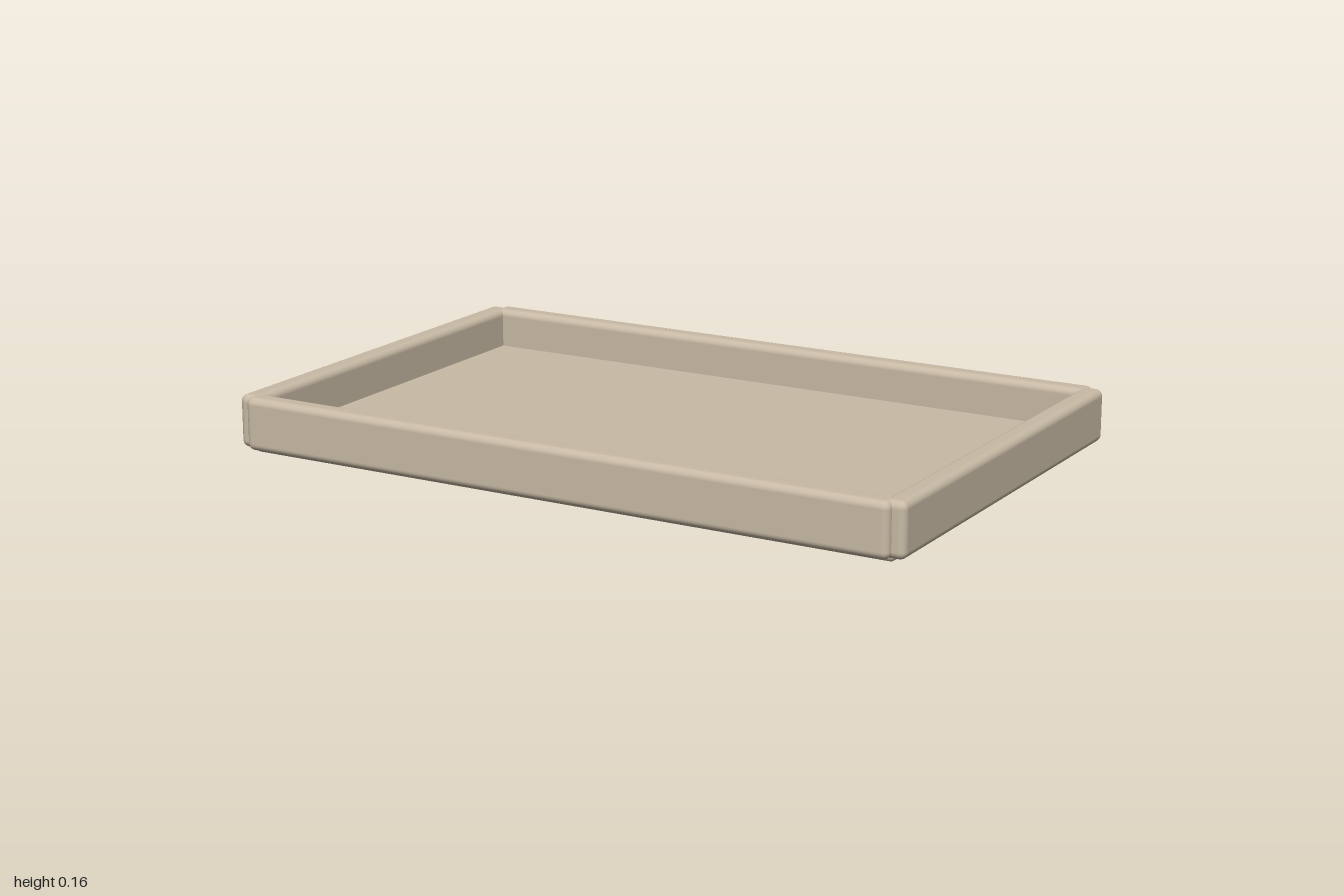
import * as THREE from 'three';
import { RoundedBoxGeometry } from 'three/addons/geometries/RoundedBoxGeometry.js';

export function createModel() {
  const group = new THREE.Group();
  group.name = 'tray';
  const material = new THREE.MeshStandardMaterial({ color: 0xc8baa5 });
  material.name = 'warm beige';

  // Soft-edged block, sitting with its underside at the given height
  const block = (name, width, height, depth, radius, x, bottom, z) => {
    const mesh = new THREE.Mesh(new RoundedBoxGeometry(width, height, depth, 4, radius), material);
    mesh.name = name;
    mesh.position.set(x, bottom + height / 2, z);
    group.add(mesh);
  };

  // Floor panel, slightly lower than the rim
  block('base', 1.93, 0.05, 1.21, 0.015, 0, 0, 0);

  // Four overlapping rim bars, leaving small notches at the corners
  for (const side of [1, -1]) {
    block(side > 0 ? 'frontWall' : 'backWall', 1.93, 0.148, 0.065, 0.02, 0, 0.013, side * 0.6075);
    block(side > 0 ? 'leftWall' : 'rightWall', 0.065, 0.148, 1.24, 0.02, side * 0.9675, 0.013, 0);
  }
  return group;
}
